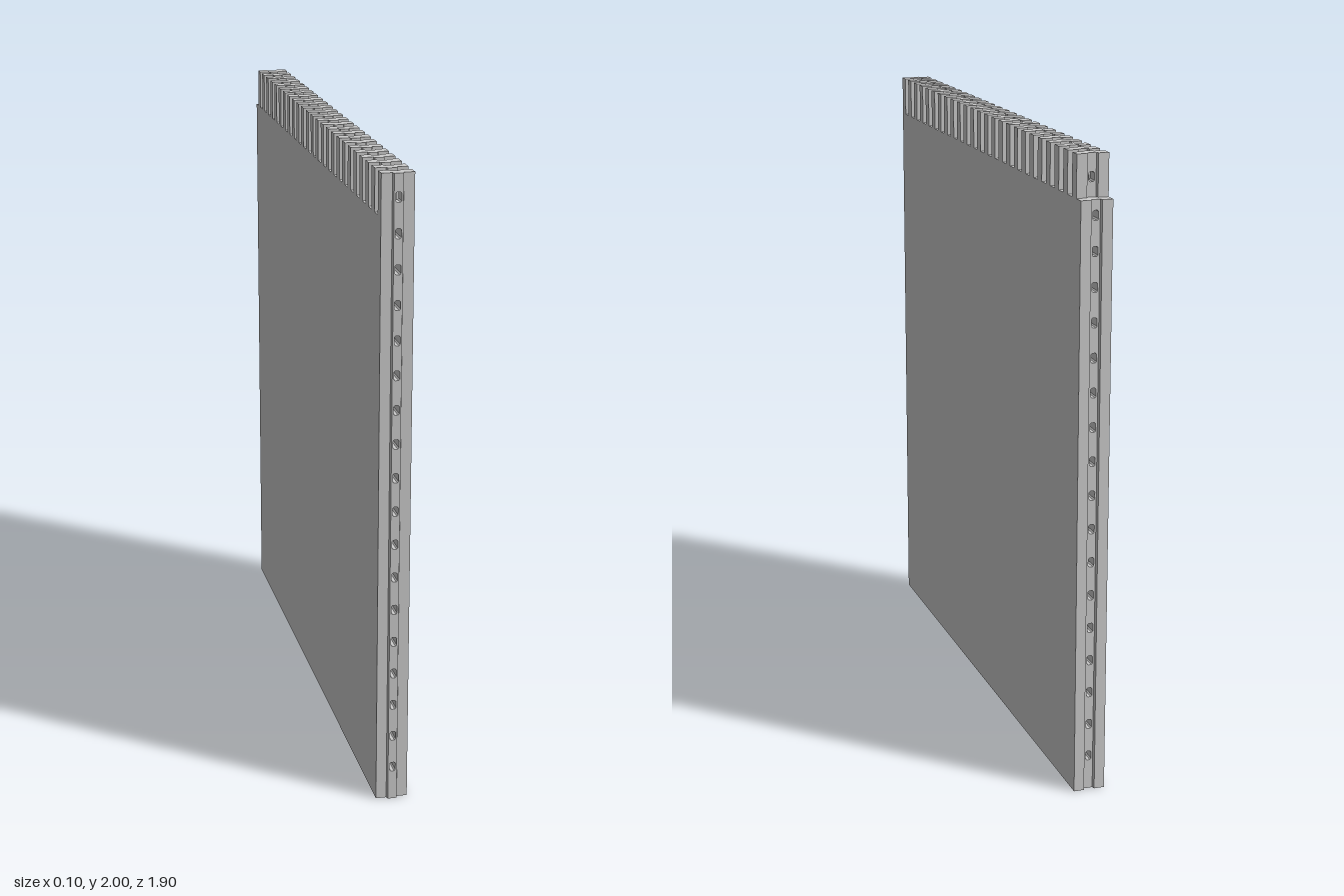
import * as THREE from 'three';

const HALF_WIDTH = 0.05;   // half thickness of the panel in x
const STEP = 0.01;         // depth of the tongue and of the groove
const TONGUE = 0.014;      // half width of the tongue at its face
const TONGUE_ROOT = 0.017; // half width of the tongue at its root
const LAYERS = 50;         // layers along z, every other one rising into a tooth
const THICK = (1.9 - STEP) / LAYERS;
const BODY_TOP = 1.87;
const TOP = 2;

const material = new THREE.MeshStandardMaterial({ color: 0xcccccc, flatShading: true });

// small upright hole with clipped corners, centred on the tongue
function holePath(y) {
  const w = 0.009, h = 0.015, c = 0.004;
  return new THREE.Path([
    [w, y - h + c], [w, y + h - c], [w - c, y + h], [c - w, y + h],
    [-w, y + h - c], [-w, y - h + c], [c - w, y - h], [w - c, y - h],
  ].map(([a, b]) => new THREE.Vector2(a, b)));
}

// slab with a tongue on its front end, a groove on its back end and holes running along z
function tonguedSlab(name, zBack, zFront, y0, y1, holes) {
  const group = new THREE.Group();
  group.name = name;

  // pierced middle strip, shifted forward to form tongue and groove
  const strip = new THREE.Shape([
    [-TONGUE, y0], [TONGUE, y0], [TONGUE, y1], [-TONGUE, y1],
  ].map(([a, b]) => new THREE.Vector2(a, b)));
  strip.holes = holes.map(holePath);
  const core = new THREE.Mesh(
    new THREE.ExtrudeGeometry(strip, { depth: zFront - zBack, bevelEnabled: false }), material);
  core.position.z = zBack + STEP;
  core.name = name + 'Core';
  group.add(core);

  // solid cheeks either side, drawn in plan and raised
  for (const side of [1, -1]) {
    const plan = new THREE.Shape([
      [TONGUE, zFront + STEP], [TONGUE_ROOT, zFront], [HALF_WIDTH, zFront],
      [HALF_WIDTH, zBack], [TONGUE_ROOT, zBack], [TONGUE, zBack + STEP],
    ].map(([x, z]) => new THREE.Vector2(side * x, -z)));
    const geometry = new THREE.ExtrudeGeometry(plan, { depth: y1 - y0, bevelEnabled: false });
    geometry.rotateX(-Math.PI / 2);
    const cheek = new THREE.Mesh(geometry, material);
    cheek.position.y = y0;
    cheek.name = name + (side > 0 ? 'LeftCheek' : 'RightCheek');
    group.add(cheek);
  }
  return group;
}

export function createModel() {
  const model = new THREE.Group();
  model.name = 'toothedPanel';
  const zFront = 0.95 - STEP;

  // evenly spaced holes; the topmost passes through the teeth
  const holes = Array.from({ length: 18 }, (_, i) => 0.111 + i * 0.107);
  model.add(tonguedSlab('panel', -0.95, zFront, 0, BODY_TOP, holes.filter((y) => y < BODY_TOP)));

  // row of teeth along the top edge
  for (let i = 0; i < LAYERS; i += 2) {
    const z = zFront - i * THICK;
    model.add(tonguedSlab('tooth', z - THICK, z, BODY_TOP, TOP, holes.filter((y) => y > BODY_TOP)));
  }
  return model;
}
